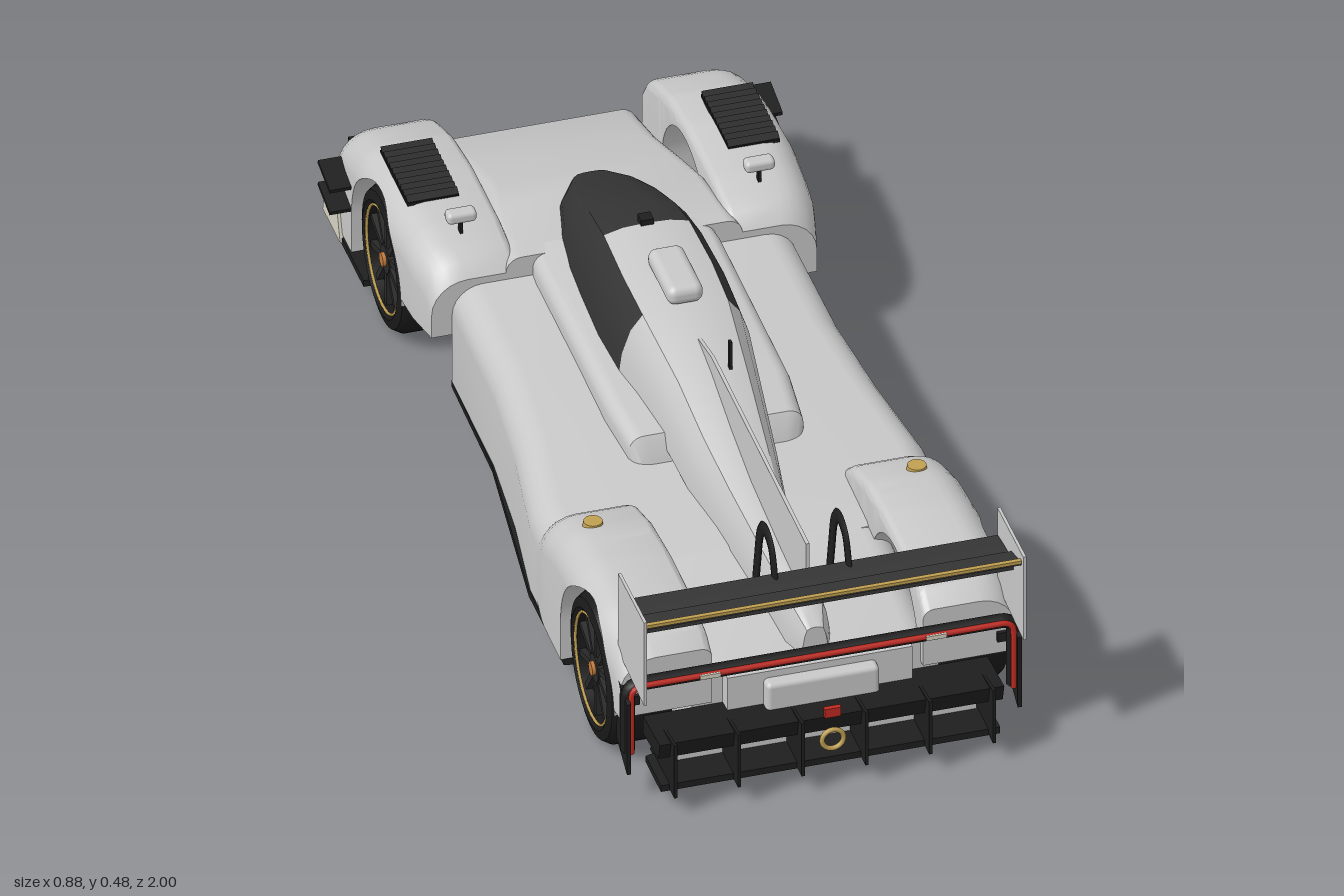
import * as THREE from 'three';
import { toCreasedNormals } from 'three/addons/utils/BufferGeometryUtils.js';
import { RoundedBoxGeometry } from 'three/addons/geometries/RoundedBoxGeometry.js';

const mat = (name, color, side = THREE.FrontSide) => Object.assign(new THREE.MeshStandardMaterial({ color, side }), { name });

// Skin through closed rings {z, pts}, pts counter-clockwise seen from +z
function loft(rings, keep = () => true, caps = true) {
  const out = [];
  const put = (r, p) => out.push(p[0], p[1], r.z);
  for (let i = 0; i + 1 < rings.length; i++) {
    const A = rings[i], B = rings[i + 1], n = A.pts.length;
    for (let j = 0; j < n; j++) {
      if (!keep(i, j)) continue;
      const k = (j + 1) % n;
      put(A, A.pts[j]); put(A, A.pts[k]); put(B, B.pts[k]);
      put(A, A.pts[j]); put(B, B.pts[k]); put(B, B.pts[j]);
    }
  }
  if (caps) [rings[0], rings[rings.length - 1]].forEach((r, e) => {
    const n = r.pts.length;
    const c = [0, 1].map(a => r.pts.reduce((s, p) => s + p[a], 0) / n);
    r.pts.forEach((p, j) => {
      const q = r.pts[(j + 1) % n];
      put(r, c); put(r, e ? p : q); put(r, e ? q : p);
    });
  });
  const g = new THREE.BufferGeometry();
  g.setAttribute('position', new THREE.Float32BufferAttribute(out, 3));
  return toCreasedNormals(g, 0.6);
}

// Section with rounded top corners; ro outer (+x), ri inner, bottom cut at yb
function section(x0, x1, yb, yt, ro, ri) {
  const pts = [[x0, yb]], t0 = Math.asin(Math.min(1, Math.max(0, (yb - yt + ro) / ro)));
  pts.push([x1 - ro + ro * Math.cos(t0), yb]);
  for (let i = 0; i <= 6; i++) {
    const t = t0 + (Math.PI / 2 - t0) * i / 6;
    pts.push([x1 - ro + ro * Math.cos(t), yt - ro + ro * Math.sin(t)]);
  }
  for (let i = 0; i <= 6; i++) {
    const t = Math.PI / 2 * (1 + i / 6);
    pts.push([x0 + ri + ri * Math.cos(t), Math.max(yb, yt - ri + ri * Math.sin(t))]);
  }
  return pts;
}
const flip = pts => pts.map(([x, y]) => [-x, y]).reverse();

function interp(table, z) {
  let i = 0;
  while (i < table.length - 2 && z > table[i + 1][0]) i++;
  const [a, b] = [table[i], table[i + 1]];
  return THREE.MathUtils.lerp(a[1], b[1], THREE.MathUtils.clamp((z - a[0]) / (b[0] - a[0]), 0, 1));
}

// Side profile [z, y] given thickness along x
function slab(points, x, w) {
  const g = new THREE.ExtrudeGeometry(new THREE.Shape(points.map(p => new THREE.Vector2(...p))), { depth: w, bevelEnabled: false });
  return g.rotateY(-Math.PI / 2).translate(x + w / 2, 0, 0);
}

export function createModel() {
  const body = mat('bodywork', 0xc8c8c8), carbon = mat('carbon', 0x1e1e1e, THREE.DoubleSide), glass = mat('glass', 0x343434);
  const rubber = mat('rubber', 0x1a1a1a), rimMat = mat('rim', 0x292929), gold = mat('gold', 0xbf9f50, THREE.DoubleSide);
  const red = mat('red light', 0xbf2a22), beige = mat('beige', 0xd6d2c2), copper = mat('copper', 0xc07a3a), wingMat = mat('wing carbon', 0x363636);
  const car = new THREE.Group();
  car.name = 'raceCar';
  const add = (name, geo, m, x = 0, y = 0, z = 0, parent = car) => {
    const o = new THREE.Mesh(geo, m);
    o.name = name; o.position.set(x, y, z); parent.add(o);
    return o;
  };
  const box = (name, w, h, d, m, x, y, z, parent) => add(name, new THREE.BoxGeometry(w, h, d), m, x, y, z, parent);
  const hull = (name, rows, r) => add(name, loft(rows.map(([z, w, yb, yt]) => {
    const k = Math.min(r, (yt - yb) * 0.8);
    return { z, pts: section(-w, w, yb, yt, k, k) };
  })), body);

  // Central hulls: z, half width, bottom, top
  hull('nose', [[-0.985, 0.18, 0.135, 0.155], [-0.96, 0.195, 0.125, 0.175], [-0.8, 0.19, 0.13, 0.23], [-0.65, 0.195, 0.11, 0.285],
    [-0.55, 0.21, 0.06, 0.305], [-0.38, 0.23, 0.05, 0.31]], 0.03);
  hull('sidepods', [[-0.4, 0.325, 0.05, 0.25], [-0.38, 0.335, 0.05, 0.265], [-0.1, 0.337, 0.05, 0.265], [0.1, 0.355, 0.05, 0.26],
    [0.3, 0.385, 0.05, 0.25], [0.52, 0.388, 0.05, 0.24], [0.53, 0.25, 0.05, 0.235], [0.87, 0.24, 0.05, 0.22]], 0.06);
  hull('shoulders', [[-0.5, 0.17, 0.2, 0.305], [-0.35, 0.18, 0.2, 0.312], [0.1, 0.18, 0.2, 0.31], [0.22, 0.17, 0.2, 0.3], [0.25, 0.155, 0.2, 0.25]], 0.03);

  // Canopy and engine cover: z, half width, base, top
  const shape = [[1, 0], [0.95, 0.35], [0.82, 0.7], [0.64, 0.92], [0.35, 0.985]];
  const canopy = [[-0.6, 0.04, 0.29, 0.315], [-0.52, 0.085, 0.3, 0.352], [-0.42, 0.11, 0.3, 0.395], [-0.32, 0.125, 0.3, 0.43], [-0.235, 0.13, 0.3, 0.448],
    [-0.1, 0.135, 0.3, 0.447], [0.02, 0.13, 0.3, 0.44], [0.2, 0.105, 0.28, 0.405], [0.33, 0.09, 0.25, 0.365], [0.46, 0.072, 0.22, 0.335],
    [0.65, 0.055, 0.21, 0.315], [0.82, 0.044, 0.21, 0.305], [0.87, 0.025, 0.22, 0.28]
  ].map(([z, b, y0, y1]) => {
    const half = shape.map(([u, v]) => [b * u, y0 + (y1 - y0) * v]);
    return { z, pts: [...half, [0, y1], ...flip(half)] };
  });
  const isGlass = (i, j) => i < 4 || (i < 6 && (j < 3 || j > 6));
  add('windows', loft(canopy, isGlass, false), glass);
  add('engineCover', loft(canopy, (i, j) => !isGlass(i, j)), body);
  add('roofScoop', new RoundedBoxGeometry(0.07, 0.04, 0.15, 3, 0.017), body, 0, 0.459, -0.045);
  box('roofCamera', 0.025, 0.015, 0.025, carbon, 0, 0.452, -0.24);
  box('antenna', 0.006, 0.07, 0.01, carbon, 0.035, 0.43, 0.195);
  add('fin', slab([[0.1, 0.42], [0.2, 0.44], [0.82, 0.437], [0.82, 0.25], [0.4, 0.25]], 0, 0.007), body);

  // Floor and splitter
  const half = [[0.2, -0.56], [0.22, -0.4], [0.335, -0.385], [0.34, -0.1], [0.388, 0.3], [0.388, 0.53], [0.26, 0.55], [0.26, 0.85], [0.33, 0.87], [0.33, 0.97]];
  const outline = [...half, ...flip(half)].map(([x, z]) => new THREE.Vector2(x, z));
  add('floor', new THREE.ExtrudeGeometry(new THREE.Shape(outline), { depth: 0.014, bevelEnabled: false }).rotateX(Math.PI / 2), carbon, 0, 0.052, 0);
  box('splitter', 0.8, 0.014, 0.26, carbon, 0, 0.042, -0.87);
  box('splitterLip', 0.8, 0.03, 0.012, carbon, 0, 0.052, -0.992);
  add('frontTowRing', new THREE.TorusGeometry(0.014, 0.004, 8, 20), gold, 0, 0.1, -0.985);

  // Tail: bumper, diffuser, lights
  box('tailPanel', 0.36, 0.17, 0.05, body, 0, 0.135, 0.875);
  add('tailBox', new RoundedBoxGeometry(0.22, 0.1, 0.05, 2, 0.01), body, 0, 0.155, 0.9);
  box('diffuserCore', 0.61, 0.06, 0.04, body, 0, 0.08, 0.88);
  add('diffuserRoof', slab([[0.87, 0.105], [0.97, 0.115], [0.98, 0.152], [0.87, 0.145]], 0, 0.67), carbon);
  for (const x of [-0.31, -0.186, -0.062, 0.062, 0.186, 0.31])
    add('diffuserStrake', slab([[0.84, 0.045], [1, 0.04], [1, 0.16], [0.93, 0.15]], x, 0.006), carbon);
  add('rearTowRing', new THREE.TorusGeometry(0.021, 0.005, 8, 24), gold, 0, 0.103, 0.985);
  box('rainLight', 0.032, 0.02, 0.01, red, 0, 0.163, 0.981);
  const uPath = (w, t, z) => {
    const p = new THREE.CurvePath(), v = (x, y) => new THREE.Vector3(x, y, z), c = 0.025;
    p.add(new THREE.LineCurve3(v(-w, 0.1), v(-w, t - c)));
    p.add(new THREE.QuadraticBezierCurve3(v(-w, t - c), v(-w, t), v(-w + c, t)));
    p.add(new THREE.LineCurve3(v(-w + c, t), v(w - c, t)));
    p.add(new THREE.QuadraticBezierCurve3(v(w - c, t), v(w, t), v(w, t - c)));
    p.add(new THREE.LineCurve3(v(w, t - c), v(w, 0.1)));
    return p;
  };
  add('tailFrame', new THREE.TubeGeometry(uPath(0.375, 0.247, 0.905), 120, 0.014, 8), carbon);
  add('tailLight', new THREE.TubeGeometry(uPath(0.372, 0.25, 0.918), 120, 0.006, 8), red);

  // Rear wing
  add('wingMain', slab([[0.835, 0.382], [0.88, 0.376], [0.94, 0.385], [0.94, 0.402], [0.88, 0.4], [0.835, 0.393]], 0, 0.73), wingMat);
  add('wingFlap', slab([[0.925, 0.407], [0.99, 0.43], [0.99, 0.437], [0.925, 0.418]], 0, 0.73), wingMat);
  box('wingEdge', 0.73, 0.007, 0.009, gold, 0, 0.438, 0.988);

  // Wheels
  const wheel = (s, z, r, w) => {
    const g = new THREE.Group();
    g.name = z > 0 ? 'rearWheel' : 'frontWheel';
    g.position.set(s * (0.39 - w / 2), r, z);
    const h = w / 2, rim = r * 0.72;
    const prof = [[rim, -h + 0.008], [r * 0.8, -h], [r * 0.93, -h + 0.005], [r, -h + 0.022], [r, h - 0.022], [r * 0.93, h - 0.005], [r * 0.8, h], [rim, h - 0.008], [rim, -h + 0.008]];
    add('tyre', toCreasedNormals(new THREE.LatheGeometry(prof.map(p => new THREE.Vector2(...p)), 40).rotateZ(-Math.PI / 2), 0.7), rubber, 0, 0, 0, g);
    add('rimDisc', new THREE.CylinderGeometry(rim, rim, w - 0.05, 32).rotateZ(Math.PI / 2), carbon, 0, 0, 0, g);
    add('rimRing', new THREE.TorusGeometry(rim + 0.002, 0.003, 6, 40).rotateY(Math.PI / 2), gold, s * (h - 0.006), 0, 0, g);
    for (let i = 0; i < 10; i++)
      add('spoke', new THREE.BoxGeometry(0.012, rim, 0.012).translate(0, rim / 2, 0).rotateX(i * Math.PI / 5), rimMat, s * (h - 0.018), 0, 0, g);
    add('hub', new THREE.CylinderGeometry(0.028, 0.028, 0.014, 20).rotateZ(Math.PI / 2), rimMat, s * (h - 0.017), 0, 0, g);
    add('wheelNut', new THREE.CylinderGeometry(0.014, 0.014, 0.02, 12).rotateZ(Math.PI / 2), copper, s * (h - 0.013), 0, 0, g);
    car.add(g);
  };

  // Fender whose underside follows the wheel arch
  const fender = (name, s, top, outer, zc, yc, R, baseFront, baseRear) => {
    const z0 = top[0][0], z1 = top[top.length - 1][0], zs = [zc - R - 0.001, zc + R + 0.001];
    for (let i = 0; i <= 24; i++) zs.push(zc - R * Math.cos(Math.PI * i / 24));
    for (let i = 0; i <= 24; i++) {
      const z = z0 + (z1 - z0) * i / 24;
      if (Math.abs(z - zc) > R + 0.003) zs.push(z);
    }
    zs.sort((a, b) => a - b);
    add(name, loft(zs.map(z => {
      const d = z - zc, inArch = Math.abs(d) <= R + 1e-6;
      const yb = inArch ? yc + Math.sqrt(Math.max(0, R * R - d * d)) : d < 0 ? baseFront : baseRear;
      const pts = section(0.205, interp(outer, z), yb, interp(top, z), 0.07, 0.022);
      return { z, pts: s > 0 ? pts : flip(pts) };
    })), body);
  };

  for (const s of [1, -1]) {
    fender('frontFender', s, [[-0.955, 0.22], [-0.945, 0.245], [-0.9, 0.272], [-0.8, 0.308], [-0.68, 0.326], [-0.5, 0.326], [-0.41, 0.312], [-0.38, 0.28]],
      [[-0.955, 0.385], [-0.92, 0.398], [-0.6, 0.4], [-0.45, 0.39], [-0.38, 0.375]], -0.67, 0.143, 0.155, 0.055, 0.16);
    fender('rearFender', s, [[0.34, 0.235], [0.4, 0.285], [0.5, 0.316], [0.62, 0.328], [0.75, 0.326], [0.85, 0.31], [0.885, 0.285]],
      [[0.34, 0.385], [0.42, 0.397], [0.75, 0.4], [0.885, 0.385]], 0.7, 0.147, 0.158, 0.06, 0.16);
    wheel(s, -0.67, 0.143, 0.115);
    wheel(s, 0.7, 0.147, 0.127);

    // Louvres
    box('louvreBase', 0.1, 0.006, 0.18, carbon, s * 0.312, 0.325, -0.67);
    for (let i = 0; i < 10; i++)
      add('louvre', new THREE.BoxGeometry(0.1, 0.003, 0.016).rotateX(0.5), carbon, s * 0.312, 0.333, -0.75 + i * 0.018);

    // Mirrors and fender lamps
    add('mirror', new RoundedBoxGeometry(0.058, 0.024, 0.03, 2, 0.009), body, s * 0.29, 0.36, -0.475);
    box('mirrorStem', 0.006, 0.04, 0.012, carbon, s * 0.29, 0.335, -0.475);
    add('fenderLamp', new THREE.CylinderGeometry(0.018, 0.02, 0.012, 20), gold, s * 0.315, 0.311, 0.475);

    // Front corner: lamps, dive planes, splitter end plates, nose pylons
    for (const y of [0.19, 0.215]) box('headlamp', 0.13, 0.012, 0.008, carbon, s * 0.3, y, -0.956);
    for (const y of [0.16, 0.21]) add('divePlane', new THREE.BoxGeometry(0.045, 0.008, 0.08).rotateX(0.2), carbon, s * 0.418, y, -0.865);
    add('splitterEndPlate', slab([[-0.995, 0.04], [-0.88, 0.04], [-0.925, 0.17], [-0.965, 0.165]], s * 0.4, 0.008), beige);
    add('nosePylon', slab([[-0.96, 0.048], [-0.82, 0.048], [-0.8, 0.15], [-0.94, 0.15]], s * 0.09, 0.012), beige);

    // Rear quarter: frame side plate, lamps, wing end plate, swan neck
    add('frameSide', slab([[0.86, 0.1], [0.93, 0.06], [0.93, 0.22], [0.87, 0.24]], s * 0.38, 0.008), carbon);
    box('markerLamp', 0.04, 0.009, 0.006, beige, s * 0.22, 0.25, 0.923);
    add('rearVent', new THREE.BoxGeometry(0.02, 0.02, 0.008), carbon, s * 0.358, 0.2, 0.89);
    add('wingEndPlate', slab([[0.83, 0.275], [1, 0.265], [1, 0.455], [0.83, 0.452]], s * 0.369, 0.006), body);
    const neck = [[0.71, 0.23], [0.735, 0.36], [0.755, 0.435], [0.785, 0.46], [0.825, 0.445], [0.85, 0.385]];
    const curve = new THREE.CatmullRomCurve3(neck.map(([z, y]) => new THREE.Vector3(0, y, z)));
    add('swanNeck', new THREE.TubeGeometry(curve, 32, 0.015, 8).scale(0.35, 1, 1), carbon, s * 0.072);
  }
  return car;
}
